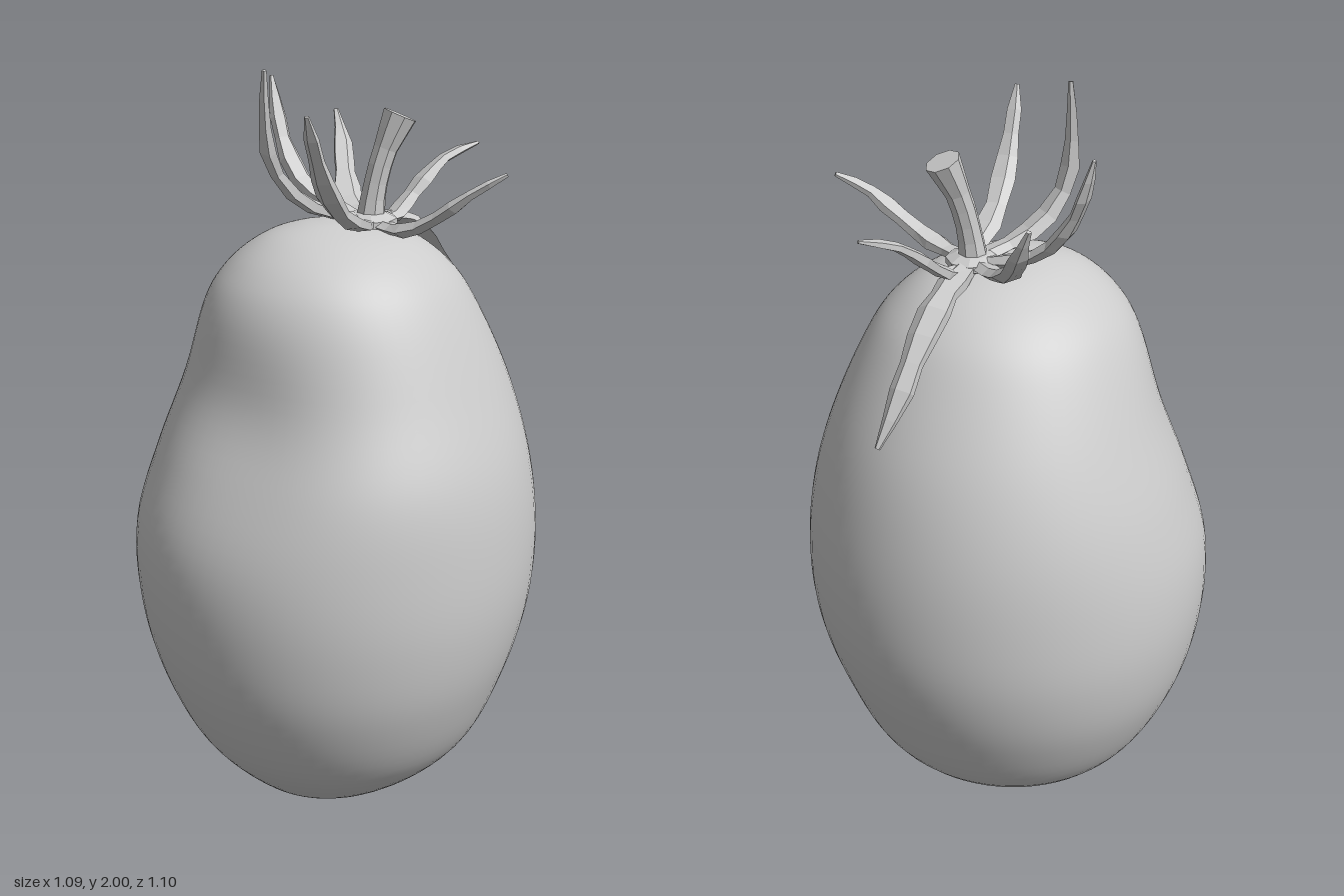
import * as THREE from 'three';

const V = (x, y, z) => new THREE.Vector3(x, y, z);

// Closed skin over rings of equal size, with a single point at each end
function skin(start, rings, end) {
  const n = rings[0].length;
  const points = [start, ...rings.flat(), end];
  const last = points.length - 1;
  const at = (i, j) => 1 + i * n + (j % n);
  const index = [];
  for (let j = 0; j < n; j++) {
    index.push(0, at(0, j), at(0, j + 1));
    for (let i = 0; i < rings.length - 1; i++) {
      index.push(at(i, j), at(i + 1, j), at(i, j + 1));
      index.push(at(i + 1, j), at(i + 1, j + 1), at(i, j + 1));
    }
    index.push(at(rings.length - 1, j), last, at(rings.length - 1, j + 1));
  }
  const geo = new THREE.BufferGeometry().setFromPoints(points);
  geo.setIndex(index);
  geo.computeVertexNormals();
  return geo;
}

// Sweep of an elliptical section along a path; size(t) gives [half width, half thickness]
function sweep(points, side, segments, sides, size) {
  const curve = new THREE.CatmullRomCurve3(points);
  const rings = [];
  for (let i = 0; i <= segments; i++) {
    const t = i / segments;
    const p = curve.getPoint(t);
    const tangent = curve.getTangent(t);
    const s = side.clone().addScaledVector(tangent, -side.dot(tangent)).normalize();
    const n = s.clone().cross(tangent);
    const [w, h] = size(t, i);
    rings.push(Array.from({ length: sides }, (_, j) => {
      const a = (j / sides) * Math.PI * 2;
      return p.clone().addScaledVector(s, w * Math.cos(a)).addScaledVector(n, h * Math.sin(a));
    }));
  }
  return skin(points[0], rings, points[points.length - 1]);
}

// Fruit sections: height, left x, right x, back z, front z
const SECTIONS = [
  [0.0, -0.08, -0.08, 0.06, 0.06],
  [0.015, -0.17, 0.03, -0.05, 0.15],
  [0.055, -0.26, 0.2, -0.2, 0.26],
  [0.2, -0.4, 0.375, -0.39, 0.42],
  [0.4, -0.495, 0.47, -0.5, 0.515],
  [0.6, -0.54, 0.528, -0.547, 0.55],
  [0.8, -0.54, 0.54, -0.545, 0.545],
  [1.0, -0.478, 0.513, -0.51, 0.508],
  [1.2, -0.4, 0.455, -0.435, 0.42],
  [1.4, -0.345, 0.36, -0.325, 0.335],
  [1.5, -0.285, 0.285, -0.24, 0.265],
  [1.57, -0.2, 0.185, -0.135, 0.17],
  [1.602, -0.11, 0.05, -0.05, 0.08],
  [1.61, -0.03, -0.03, 0.015, 0.015],
];

function fruitGeometry() {
  const low = new THREE.CatmullRomCurve3(SECTIONS.map(([y, l, , b]) => V(l, y, b)), false, 'catmullrom');
  const high = new THREE.CatmullRomCurve3(SECTIONS.map(([y, , r, , f]) => V(r, y, f)), false, 'catmullrom');
  const rows = 78, sides = 72;
  const dent = V(-0.33, 1.12, 0.33);
  const rings = [];
  for (let i = 1; i < rows; i++) {
    const a = low.getPoint(i / rows), b = high.getPoint(i / rows);
    const c = a.clone().add(b).multiplyScalar(0.5);
    rings.push(Array.from({ length: sides }, (_, j) => {
      const t = (j / sides) * Math.PI * 2;
      const p = V(c.x + ((b.x - a.x) / 2) * Math.cos(t), c.y, c.z + ((b.z - a.z) / 2) * Math.sin(t));
      // shallow hollow in the shoulder
      const k = 0.04 * Math.exp(-p.distanceToSquared(dent) / 0.045);
      return p.add(V(k * 0.7, 0, -k * 0.7));
    }));
  }
  return skin(low.getPoint(0), rings, low.getPoint(1));
}

// Sepal paths after the shared hub, and half widths
const HUB = V(0.085, 1.6, 0.01);
const SEPALS = [
  [0.04, [0, 1.62, 0.02], [-0.1, 1.665, 0.03], [-0.175, 1.76, 0.045], [-0.197, 1.87, 0.07], [-0.2, 2.0, 0.095]],
  [0.038, [0.05, 1.605, 0.09], [-0.02, 1.645, 0.17], [-0.08, 1.73, 0.25], [-0.115, 1.82, 0.295], [-0.145, 1.925, 0.335]],
  [0.04, [0.02, 1.62, -0.07], [-0.05, 1.665, -0.14], [-0.09, 1.75, -0.2], [-0.105, 1.84, -0.245], [-0.115, 1.935, -0.275]],
  [0.038, [0.075, 1.605, -0.09], [0.07, 1.635, -0.18], [0.08, 1.69, -0.27], [0.088, 1.75, -0.33], [0.08, 1.825, -0.372]],
  [0.04, [0.12, 1.595, 0.09], [0.16, 1.61, 0.17], [0.22, 1.66, 0.235], [0.28, 1.715, 0.275], [0.36, 1.76, 0.29]],
  [0.036, [0.16, 1.595, -0.04], [0.21, 1.63, -0.08], [0.27, 1.685, -0.11], [0.33, 1.73, -0.135], [0.42, 1.76, -0.15]],
  [0.048, [0.16, 1.59, -0.07], [0.22, 1.565, -0.13], [0.3, 1.49, -0.205], [0.365, 1.4, -0.265], [0.435, 1.29, -0.3]],
];

export function createModel() {
  const group = new THREE.Group();
  group.name = 'tomato';
  const smooth = new THREE.MeshStandardMaterial({ color: 0xcccccc });
  const faceted = new THREE.MeshStandardMaterial({ color: 0xcccccc, flatShading: true });
  const add = (name, geometry, material, parent = group) => {
    const mesh = new THREE.Mesh(geometry, material);
    mesh.name = name;
    parent.add(mesh);
    return mesh;
  };

  add('fruit', fruitGeometry(), smooth);

  const calyx = new THREE.Group();
  calyx.name = 'calyx';
  group.add(calyx);

  // Flat knot where the sepals meet
  const hub = add('hub', new THREE.SphereGeometry(0.075, 9, 5), faceted, calyx);
  hub.scale.y = 0.35;
  hub.position.copy(HUB);

  // Sepals: narrow at the root, widest near the middle, pointed and slightly uneven
  SEPALS.forEach(([width, ...path], k) => {
    const points = [HUB, ...path.map((p) => V(...p))];
    const out = points[points.length - 1].clone().sub(HUB);
    const side = V(-out.z, 0, out.x).normalize();
    const geo = sweep(points, side, 9, 5, (t, i) => {
      const uneven = 1 + 0.14 * Math.sin(i * 2.3 + k * 1.7);
      const w = width * Math.min(1, 0.6 + t) * Math.sqrt(Math.max(0.03, 1 - t ** 2.2)) * uneven;
      return [w, 0.45 * w + 0.002];
    });
    add('sepal', geo, faceted, calyx);
  });

  // Leaning stem, flared at the foot and at the cut end
  const stemPath = [V(0.085, 1.58, 0.01), V(0.095, 1.67, 0.01), V(0.12, 1.77, 0.01), V(0.162, 1.868, 0.01)];
  add('stem', sweep(stemPath, V(0, 0, 1), 7, 8, (t) => {
    const r = 0.033 + 0.03 * Math.max(0, 0.35 - t) + 0.05 * Math.max(0, t - 0.7);
    return [r, r * 0.95];
  }), faceted, calyx);

  return group;
}
